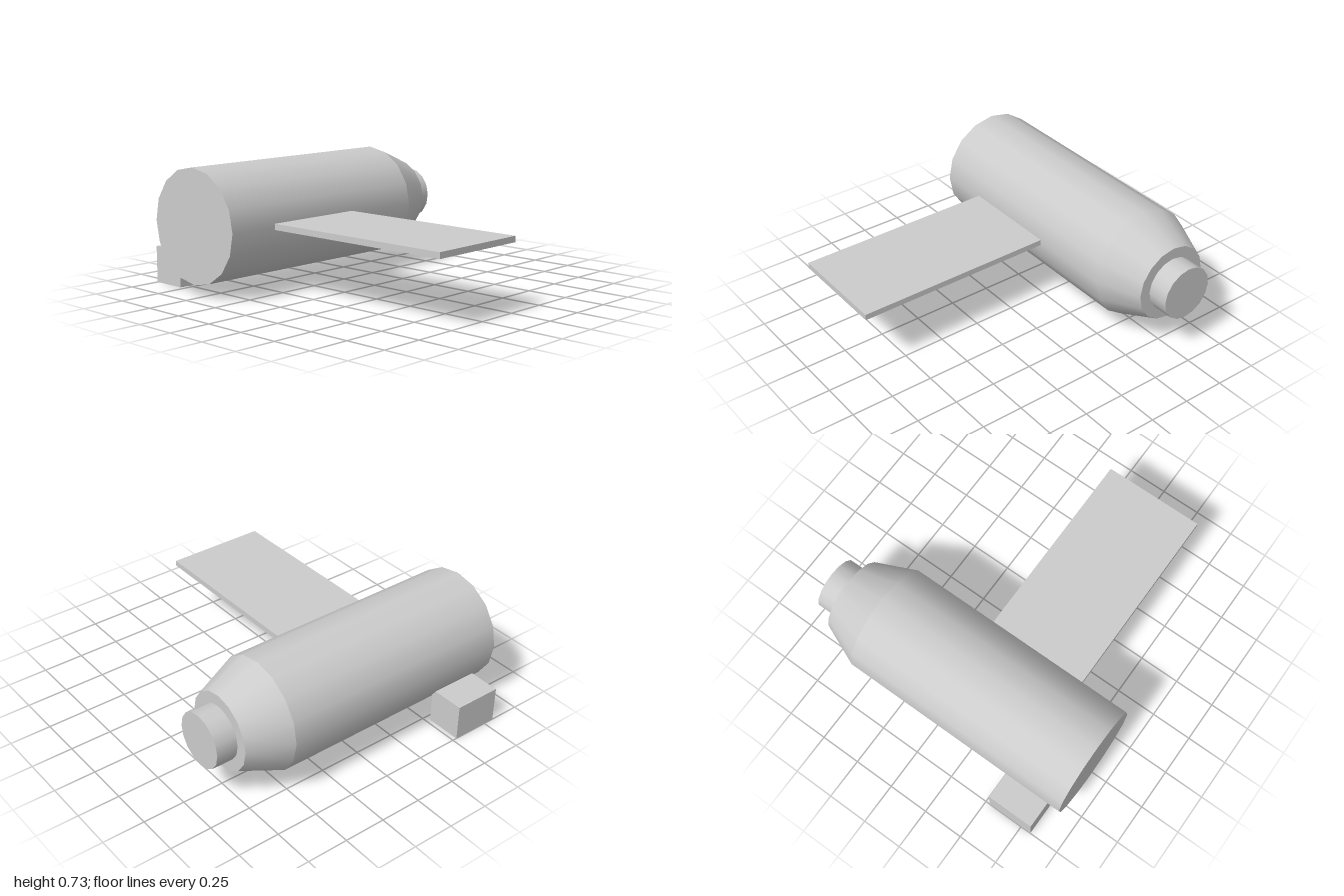
import * as THREE from 'three';

const CX = -0.535, CY = 0.4;

export function createModel() {
  const group = new THREE.Group();
  const material = new THREE.MeshStandardMaterial({ color: 0xcccccc });

  function add(name, geometry, x, y, z) {
    const mesh = new THREE.Mesh(geometry, material);
    mesh.name = name;
    mesh.position.set(x, y, z);
    group.add(mesh);
  }

  // Round section along z, from its front end to its back end
  function section(name, frontRadius, backRadius, frontZ, backZ) {
    const geometry = new THREE.CylinderGeometry(frontRadius, backRadius, frontZ - backZ, 16);
    geometry.rotateX(Math.PI / 2);
    add(name, geometry, CX, CY, (frontZ + backZ) / 2);
  }

  // Box given by its limits on each axis
  function block(name, [x0, x1], [y0, y1], [z0, z1]) {
    add(name, new THREE.BoxGeometry(x1 - x0, y1 - y0, z1 - z0),
      (x0 + x1) / 2, (y0 + y1) / 2, (z0 + z1) / 2);
  }

  // Hull: main barrel, tapered shoulder and end collar
  section('barrel', 0.334, 0.334, 0.908, -0.53);
  section('taperedShoulder', 0.334, 0.23, -0.53, -0.78);
  section('endCollar', 0.162, 0.162, -0.78, -0.908);

  // Flat panel on the left and equipment box low on the right
  block('sidePanel', [-0.205, 1], [0.382, 0.417], [-0.022, 0.597]);
  block('equipmentBox', [-1, -0.783], [0, 0.218], [0.527, 0.815]);

  return group;
}
